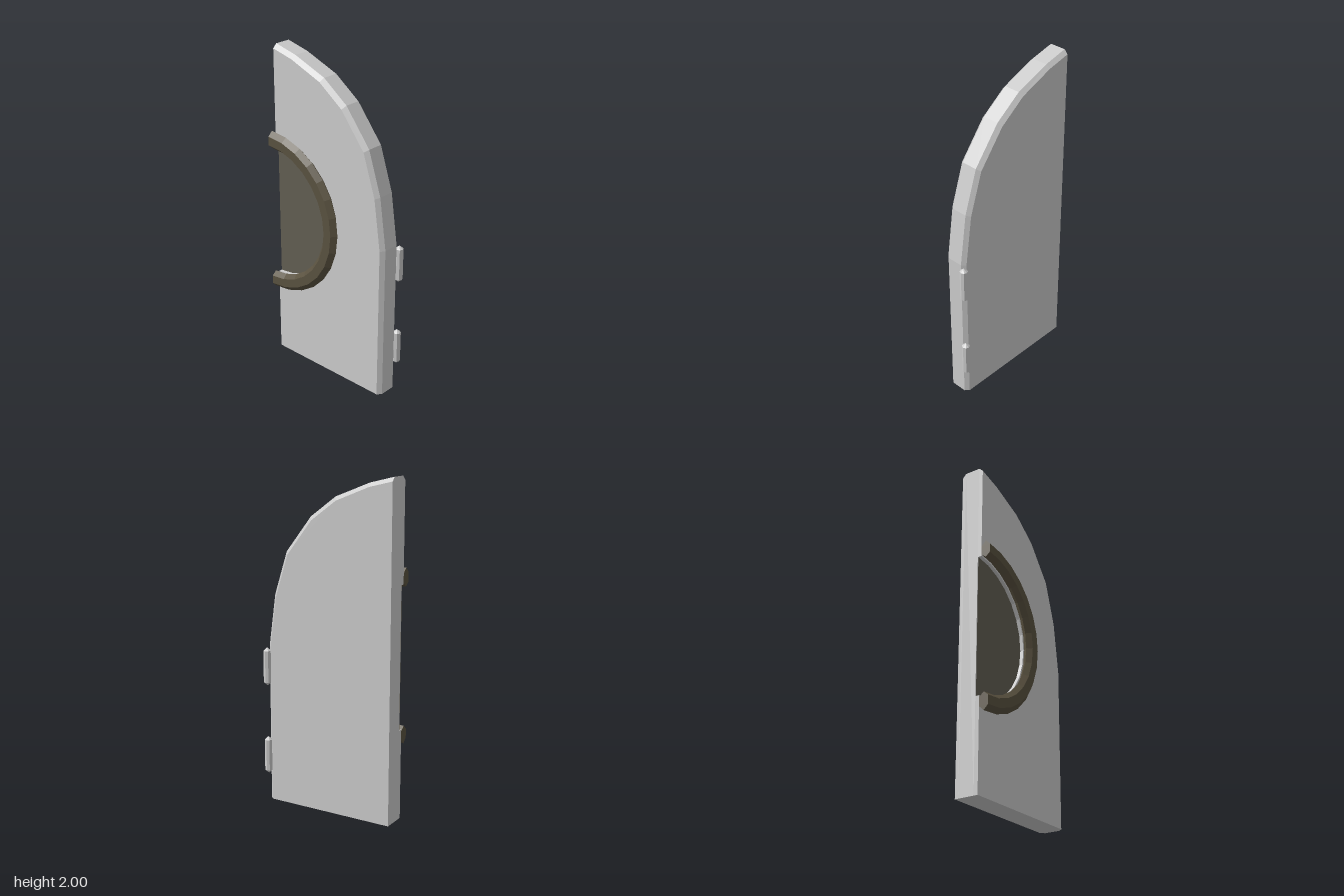
import * as THREE from 'three';

const CUT = -0.43;   // plane of the straight meeting edge
const RING_Y = 0.972; // height of the round window

const grey = new THREE.MeshStandardMaterial({ color: 0xcccccc, flatShading: true });
const bronze = new THREE.MeshStandardMaterial({ color: 0x5a5240, flatShading: true, side: THREE.DoubleSide });
const dark = new THREE.MeshStandardMaterial({ color: 0x625e52, flatShading: true, side: THREE.DoubleSide });

// Closed solid through matching outlines, each { z, pts } (counter-clockwise, back to front)
function loft(layers) {
  const n = layers[0].pts.length;
  const positions = layers.flatMap(({ z, pts }) => pts.flatMap(([x, y]) => [x, y, z]));
  const index = [];
  for (let k = 0; k < layers.length - 1; k++) {
    for (let i = 0; i < n; i++) {
      const a = k * n + i, b = k * n + (i + 1) % n;
      index.push(a, b, b + n, a, b + n, a + n);
    }
  }
  const cap = (k) => THREE.ShapeUtils.triangulateShape(layers[k].pts.map(([x, y]) => new THREE.Vector2(x, y)), []);
  for (const [a, b, c] of cap(0)) index.push(a, c, b);
  const top = (layers.length - 1) * n;
  for (const [a, b, c] of cap(layers.length - 1)) index.push(top + a, top + b, top + c);
  const geo = new THREE.BufferGeometry();
  geo.setAttribute('position', new THREE.Float32BufferAttribute(positions, 3));
  geo.setIndex(index);
  const flat = geo.toNonIndexed();
  flat.computeVertexNormals();
  return flat;
}

export function createModel() {
  const model = new THREE.Group();
  model.name = 'archedDoorLeaf';
  const add = (name, geo, mat, parent = model) => {
    const mesh = new THREE.Mesh(geo, mat);
    mesh.name = name;
    parent.add(mesh);
    return mesh;
  };

  // Door outline and its bevelled inset
  const outer = [[CUT, 0], [0.4, 0], [0.4, 0.97], [0.355, 1.285], [0.27, 1.545],
    [0.103, 1.757], [-0.062, 1.878], [-0.28, 1.963], [CUT, 2]];
  const inset = [[CUT, 0], [0.378, 0], [0.378, 0.967], [0.334, 1.277], [0.251, 1.53],
    [0.088, 1.737], [-0.074, 1.856], [-0.287, 1.941], [CUT, 1.976]];

  // Half-round notch in the front layer
  const notch = [];
  for (let i = 0; i <= 14; i++) {
    const a = Math.PI / 2 - (i / 14) * Math.PI;
    notch.push([CUT + 0.425 * Math.cos(a), RING_Y + 0.425 * Math.sin(a)]);
  }

  const door = new THREE.Group();
  door.name = 'door';
  model.add(door);
  add('doorBody', loft([
    { z: -0.09, pts: inset }, { z: -0.068, pts: outer }, { z: 0.03, pts: outer },
  ]), grey, door);
  add('doorFront', loft([
    { z: 0.03, pts: [...outer, ...notch] }, { z: 0.055, pts: [...inset, ...notch] },
  ]), grey, door);

  // Recessed dark panel inside the ring
  add('panel', new THREE.CircleGeometry(0.425, 14, -Math.PI / 2, Math.PI), dark)
    .position.set(CUT, RING_Y, 0.034);

  // Half ring with a six-sided section and closed ends
  const ring = new THREE.Group();
  ring.name = 'ring';
  ring.position.set(CUT, RING_Y, 0);
  model.add(ring);
  const section = [[0.488, 0.055], [0.517, 0.085], [0.488, 0.114], [0.435, 0.114],
    [0.41, 0.085], [0.435, 0.055]].map(([r, z]) => new THREE.Vector2(r, z));
  add('ringBand', new THREE.LatheGeometry([...section, section[0]], 14, 0, Math.PI).rotateX(Math.PI / 2), bronze, ring);
  for (const s of [1, -1]) {
    const toEnd = new THREE.Matrix4().makeBasis(
      new THREE.Vector3(0, s, 0), new THREE.Vector3(0, 0, 1), new THREE.Vector3(s, 0, 0));
    add('ringEnd', new THREE.ShapeGeometry(new THREE.Shape(section)).applyMatrix4(toEnd), bronze, ring);
  }

  // Hinge pins with pointed ends
  const pin = [[0, -0.118], [0.024, -0.098], [0.024, 0.098], [0, 0.118]].map(([r, y]) => new THREE.Vector2(r, y));
  for (const y of [0.285, 0.843]) {
    add('hinge', new THREE.LatheGeometry(pin, 8), grey).position.set(0.402, y, -0.092);
  }
  return model;
}
